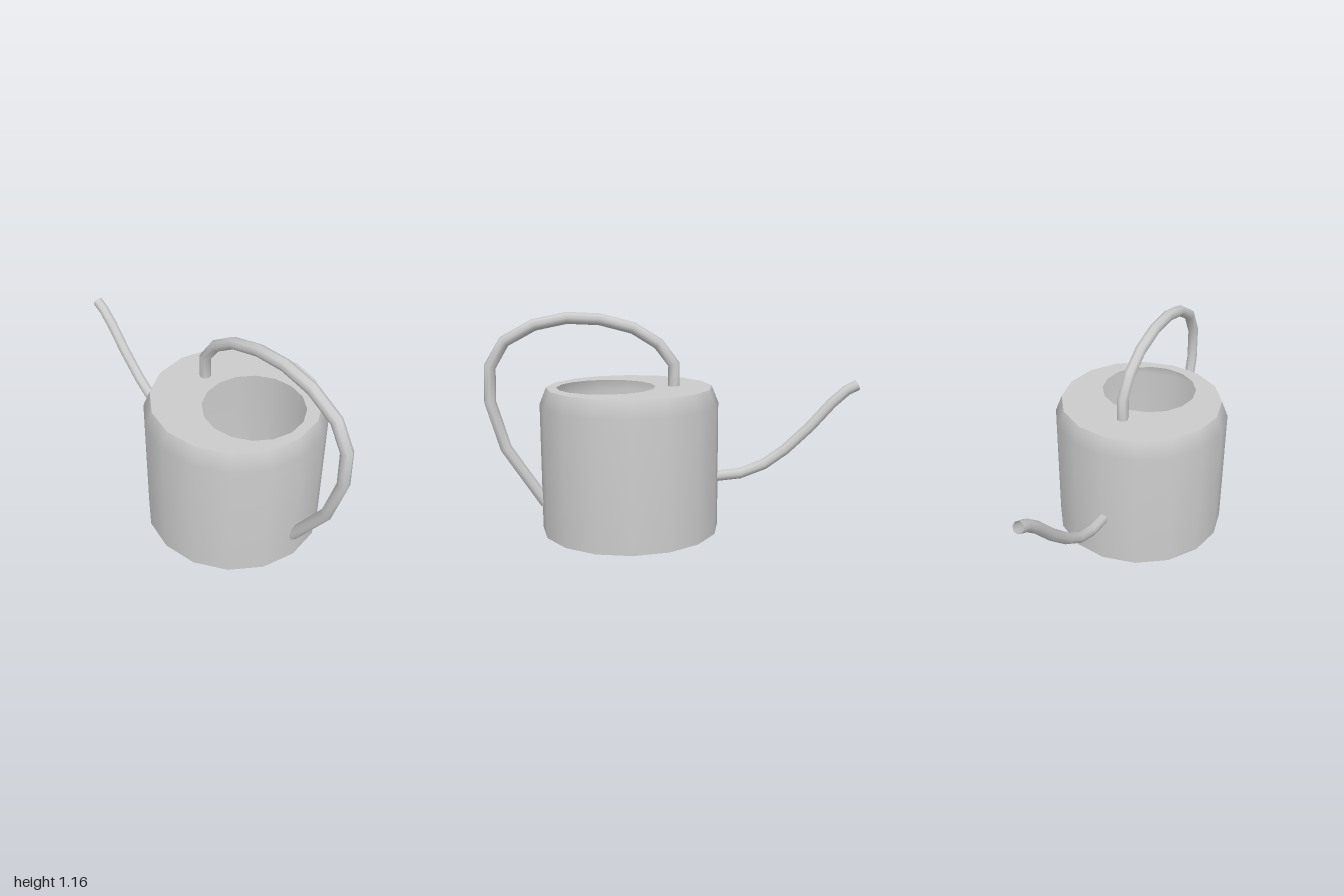
import * as THREE from 'three';

const SIDES = 16;
const CENTER_X = 0.235;
const RADIUS = 0.473;
const TOP_RADIUS = 0.437;
const TOP_Y = 0.765;

const material = new THREE.MeshStandardMaterial({ color: 0xcccccc, side: THREE.DoubleSide });

function part(name, geometry) {
  const mesh = new THREE.Mesh(geometry, material);
  mesh.name = name;
  return mesh;
}

// Pipe with one ring at each given [x, y] point, so its bends stay coarse
function pipe(points, radius) {
  const curve = new THREE.CatmullRomCurve3(points.map(([x, y]) => new THREE.Vector3(x, y, 0)));
  curve.getPointAt = curve.getPoint;
  curve.getTangentAt = curve.getTangent;
  return new THREE.TubeGeometry(curve, points.length - 1, radius, 8, false);
}

function polygon(PathType, cx, cy, radius) {
  const corners = [];
  for (let i = 0; i < SIDES; i++) {
    const a = (i / SIDES) * Math.PI * 2;
    corners.push(new THREE.Vector2(cx + radius * Math.cos(a), cy + radius * Math.sin(a)));
  }
  return new PathType(corners);
}

export function createModel() {
  const group = new THREE.Group();
  group.name = 'wateringCan';

  // Wall with a bevelled shoulder
  const profile = [[RADIUS, 0], [RADIUS, 0.675], [TOP_RADIUS, TOP_Y]].map(([r, y]) => new THREE.Vector2(r, y));
  const wall = part('bodyWall', new THREE.LatheGeometry(profile, SIDES));
  wall.position.x = CENTER_X;
  group.add(wall);

  // Flat base
  const base = part('base', new THREE.CircleGeometry(RADIUS, SIDES).rotateX(Math.PI / 2));
  base.position.x = CENTER_X;
  group.add(base);

  // Top plate with the off-centre filling hole
  const plate = polygon(THREE.Shape, CENTER_X, 0, TOP_RADIUS);
  plate.holes.push(polygon(THREE.Path, 0.357, 0.01, 0.26));
  const top = part('topPlate', new THREE.ShapeGeometry(plate).rotateX(-Math.PI / 2));
  top.position.y = TOP_Y;
  group.add(top);

  // Handle arching from the top plate round to the wall
  const handle = part('handle', pipe([
    [0, 0.75], [0, 0.88], [0.08, 0.988], [0.21, 1.07], [0.385, 1.117], [0.555, 1.125],
    [0.725, 1.09], [0.88, 1.005], [0.957, 0.875], [0.963, 0.69], [0.89, 0.44], [0.69, 0.135],
  ], 0.031));
  handle.position.z = 0.003;
  group.add(handle);

  // Open-ended curved spout
  group.add(part('spout', pipe([
    [-0.993, 0.758], [-0.935, 0.73], [-0.855, 0.66], [-0.74, 0.533], [-0.605, 0.408],
    [-0.49, 0.328], [-0.36, 0.28], [-0.22, 0.267],
  ], 0.03)));

  return group;
}
